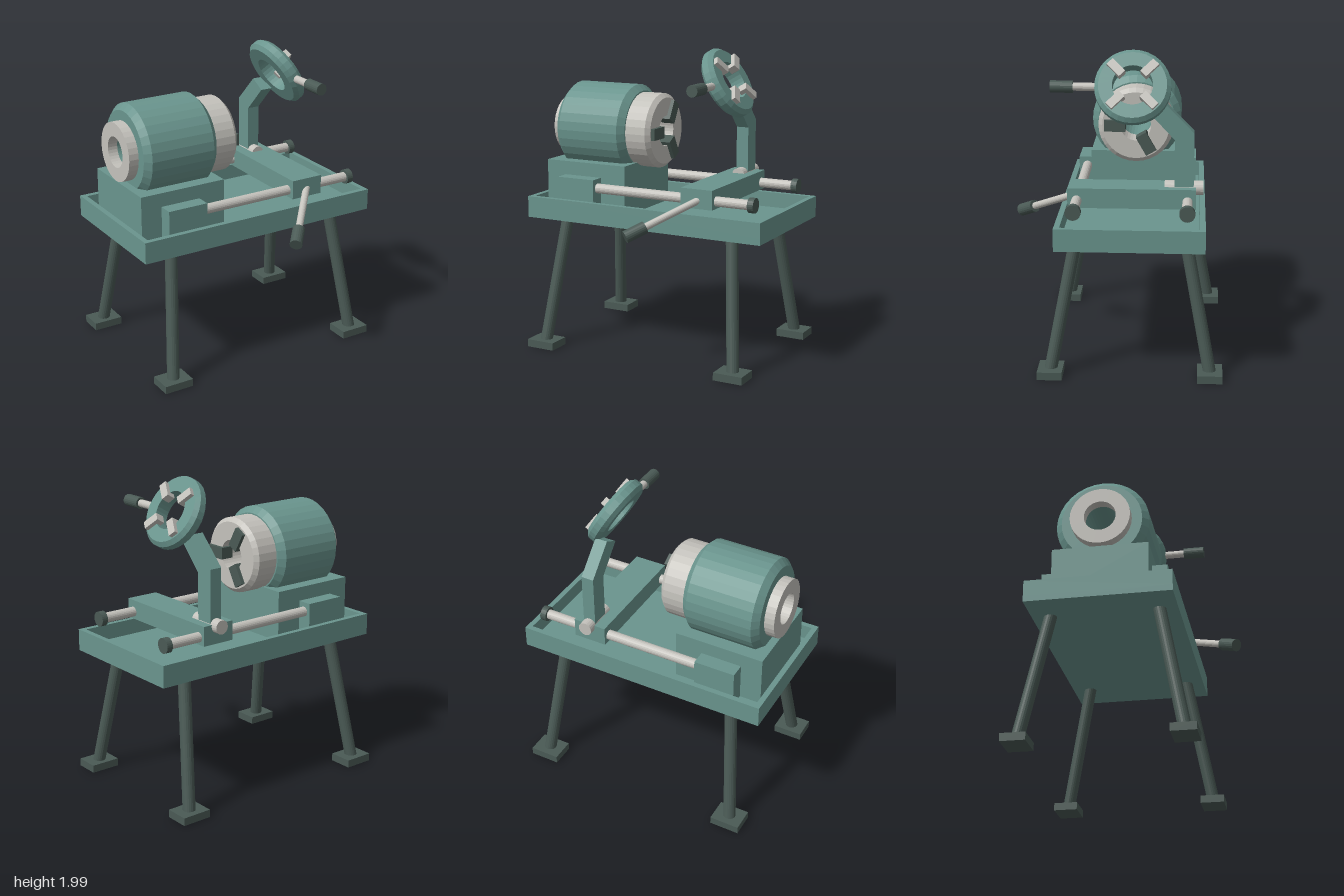
import * as THREE from 'three';

const teal = new THREE.MeshStandardMaterial({ color: 0x6a958e });
teal.name = 'teal paint';
const steel = new THREE.MeshStandardMaterial({ color: 0xc4c2bc });
steel.name = 'light steel';
const dark = new THREE.MeshStandardMaterial({ color: 0x4a5a55 });
dark.name = 'dark grey green';

const CZ = -0.1; // centre plane of the machine
const V = (x, y, z) => new THREE.Vector3(x, y, z);

export function createModel() {
  const model = new THREE.Group();
  model.name = 'threadingMachine';

  function add(name, geometry, material, parent = model) {
    const mesh = new THREE.Mesh(geometry, material);
    mesh.name = name;
    parent.add(mesh);
    return mesh;
  }

  // Box given by its limits on each axis
  function box(name, x0, x1, y0, y1, z0, z1, material, parent) {
    const g = new THREE.BoxGeometry(x1 - x0, y1 - y0, z1 - z0);
    g.translate((x0 + x1) / 2, (y0 + y1) / 2, (z0 + z1) / 2);
    return add(name, g, material, parent);
  }

  function faceted(g) {
    const flat = g.toNonIndexed();
    flat.computeVertexNormals();
    return flat;
  }

  // Round bar between two points
  function bar(name, a, b, r, material, sides = 20, parent) {
    const d = b.clone().sub(a);
    const g = faceted(new THREE.CylinderGeometry(r, r, d.length(), sides));
    const mesh = add(name, g, material, parent);
    mesh.position.copy(a).add(b).multiplyScalar(0.5);
    mesh.quaternion.setFromUnitVectors(V(0, 1, 0), d.normalize());
    return mesh;
  }

  // Hollow turned part along x; c0 and c1 are the end chamfers
  function turned(name, x0, x1, r, bore, c0, c1, material, parent) {
    const profile = [[bore, x0], [r - c0, x0]];
    if (c0) profile.push([r, x0 + c0]);
    if (c1) profile.push([r, x1 - c1]);
    profile.push([r - c1, x1], [bore, x1], [bore, x0]);
    const g = new THREE.LatheGeometry(profile.map(p => new THREE.Vector2(...p)), 32);
    g.rotateZ(-Math.PI / 2);
    return add(name, faceted(g), material, parent);
  }

  // Tray with a raised rim
  box('trayFloor', -0.84, 0.84, 0.86, 0.9, CZ - 0.455, CZ + 0.455, teal);
  const rect = (T, w, h) => new T([[-w, -h], [w, -h], [w, h], [-w, h]].map(p => new THREE.Vector2(...p)));
  const rim = rect(THREE.Shape, 0.84, 0.455);
  rim.holes.push(rect(THREE.Path, 0.805, 0.42));
  const rimGeometry = new THREE.ExtrudeGeometry(rim, { depth: 0.1, bevelEnabled: false });
  rimGeometry.rotateX(-Math.PI / 2).translate(0, 0.9, CZ);
  add('trayRim', rimGeometry, teal);

  // Splayed legs and feet, rails with brackets and end caps
  for (const sz of [-1, 1]) {
    for (const sx of [-1, 1]) {
      bar('leg', V(sx * 0.69, 0.03, CZ + sz * 0.497), V(sx * 0.6, 0.87, CZ + sz * 0.338), 0.04, dark);
      box('foot', sx * 0.688 - 0.098, sx * 0.688 + 0.098, 0, 0.05,
        CZ + sz * 0.497 - 0.078, CZ + sz * 0.497 + 0.078, dark);
    }
    const z = CZ + sz * 0.343;
    bar('rail', V(-0.4, 1.078, z), V(0.73, 1.078, z), 0.032, steel);
    bar('railCap', V(0.72, 1.078, z), V(0.76, 1.078, z), 0.048, dark, 24);
    const zb = CZ + sz * 0.345;
    box('railBracket', -0.64, -0.37, 0.9, 1.14, zb - 0.052, zb + 0.052, teal);
  }

  // Headstock: block, drum, rear collar and chuck
  box('headstockBlock', -0.78, -0.19, 0.9, 1.23, CZ - 0.3, CZ + 0.3, teal);
  const head = new THREE.Group();
  head.name = 'headstock';
  head.position.set(0, 1.435, CZ);
  model.add(head);
  turned('rearCollar', -0.795, -0.73, 0.19, 0.1, 0, 0, steel, head);
  turned('drum', -0.73, -0.215, 0.295, 0.1, 0.04, 0.04, teal, head);
  turned('chuck', -0.215, -0.045, 0.246, 0.1, 0, 0.027, steel, head);
  for (let i = 0; i < 3; i++) {
    const jaw = box('chuckJaw', -0.11, -0.02, -0.038, 0.038, 0.068, 0.205, dark, head);
    jaw.rotation.x = i * Math.PI * 2 / 3;
  }

  // Carriage across the rails, with hinge pin
  box('carriage', 0.27, 0.49, 1.03, 1.155, -0.495, 0.3, teal);
  bar('hingePin', V(0.387, 1.143, -0.54), V(0.387, 1.143, -0.3), 0.045, steel);

  // Cranked arm, drawn in (z, y) and extruded along x
  const outline = [[0.48, 1.12], [0.48, 1.497], [0.3, 1.68], [0.2, 1.625], [0.36, 1.455], [0.36, 1.12]];
  const armShape = new THREE.Shape(outline.map(p => new THREE.Vector2(...p)));
  const armGeometry = new THREE.ExtrudeGeometry(armShape, { depth: 0.083, bevelEnabled: false });
  armGeometry.rotateY(Math.PI / 2).translate(0.346, 0, 0);
  add('arm', armGeometry, teal);

  // Tilted die head with four dies
  const dieHead = new THREE.Group();
  dieHead.name = 'dieHead';
  dieHead.position.set(0.4, 1.775, CZ);
  dieHead.rotation.z = Math.PI / 6;
  model.add(dieHead);
  turned('dieRing', -0.047, 0.047, 0.235, 0.125, 0.025, 0.025, teal, dieHead);
  for (let i = 0; i < 4; i++) {
    const die = box('die', 0.015, 0.075, -0.026, 0.026, 0.09, 0.2, steel, dieHead);
    die.rotation.x = Math.PI / 4 + i * Math.PI / 2;
  }
  bar('dieLever', V(0.4, 1.775, 0.11), V(0.4, 1.775, 0.28), 0.025, steel);
  bar('dieLeverGrip', V(0.4, 1.775, 0.265), V(0.4, 1.775, 0.405), 0.038, dark);

  // Feed lever at the front of the carriage
  const pivot = V(0.4, 1.09, 0.27);
  const tip = V(0.065, 0.885, 0.64);
  const gripStart = pivot.clone().lerp(tip, 0.74);
  bar('feedLever', pivot, gripStart.clone().lerp(tip, 0.1), 0.023, steel);
  bar('feedLeverGrip', gripStart, tip, 0.04, dark);

  return model;
}
